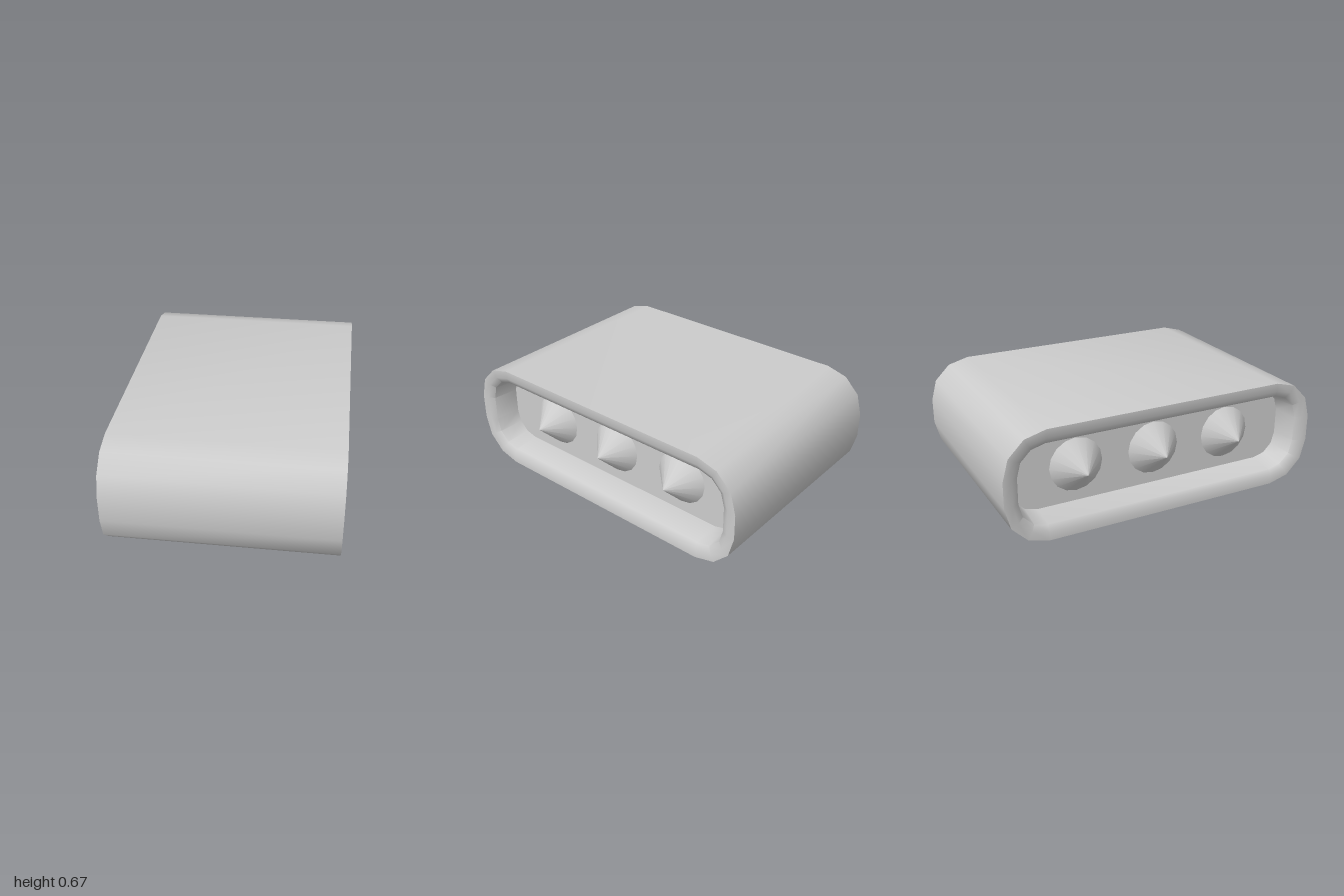
import * as THREE from 'three';
import { toCreasedNormals } from 'three/addons/utils/BufferGeometryUtils.js';

const HALF_LENGTH = 1, HALF_HEIGHT = 0.333, RADIUS = 0.255;
const HALF_WIDTH = 0.667, PLATE_X = 0.485, PLATE_INSET = 0.105;

// Rounded rectangle in (z, y), three segments per corner, shrunk by an inset
function outline(inset) {
  const points = [];
  for (let corner = 0; corner < 4; corner++) {
    const sz = corner === 0 || corner === 3 ? 1 : -1;
    const sy = corner < 2 ? 1 : -1;
    for (let k = 0; k <= 3; k++) {
      const a = (corner + k / 3) * Math.PI / 2;
      const r = RADIUS - inset;
      points.push(new THREE.Vector2(
        sz * (HALF_LENGTH - RADIUS) + r * Math.cos(a),
        sy * (HALF_HEIGHT - RADIUS) + r * Math.sin(a)));
    }
  }
  return points;
}

// Shell lofted along x through [x, inset] stations
function loft(stations) {
  const positions = [], index = [];
  const n = outline(0).length;
  stations.forEach(([x, inset], s) => {
    outline(inset).forEach(p => positions.push(x, p.y, p.x));
    if (s === 0) return;
    for (let i = 0; i < n; i++) {
      const j = (i + 1) % n, a = (s - 1) * n, b = s * n;
      index.push(a + i, b + i, b + j, a + i, b + j, a + j);
    }
  });
  const geometry = new THREE.BufferGeometry();
  geometry.setAttribute('position', new THREE.Float32BufferAttribute(positions, 3));
  geometry.setIndex(index);
  return toCreasedNormals(geometry, 0.95);
}

export function createModel() {
  const model = new THREE.Group();
  model.name = 'housing';
  const material = new THREE.MeshStandardMaterial({ color: 0xcccccc });
  const add = (parent, name, geometry) => {
    const mesh = new THREE.Mesh(geometry, material);
    mesh.name = name;
    parent.add(mesh);
    return mesh;
  };

  // Outer casing with rolled lips and recessed inner walls
  const lip = [[HALF_WIDTH, 0], [HALF_WIDTH, 0.05], [0.645, 0.088], [PLATE_X, PLATE_INSET]];
  const mirrored = lip.map(([x, inset]) => [-x, inset]).reverse();
  add(model, 'casing', loft([...mirrored, ...lip]));

  // Each open end: a recessed plate carrying three cones
  for (const side of [1, -1]) {
    const end = new THREE.Group();
    end.name = side > 0 ? 'leftEnd' : 'rightEnd';
    end.rotation.y = side > 0 ? 0 : Math.PI;
    model.add(end);

    const plate = add(end, 'recessedPlate',
      new THREE.ShapeGeometry(new THREE.Shape(outline(PLATE_INSET))));
    plate.rotation.y = Math.PI / 2;
    plate.position.x = PLATE_X;

    for (const z of [-0.5, 0, 0.5]) {
      const height = 0.165;
      const cone = add(end, 'cone', new THREE.ConeGeometry(0.165, height, 16));
      cone.rotation.z = -Math.PI / 2;
      cone.position.set(PLATE_X + height / 2, 0, z);
    }
  }

  model.children.forEach(part => { part.position.y = HALF_HEIGHT; });
  return model;
}
